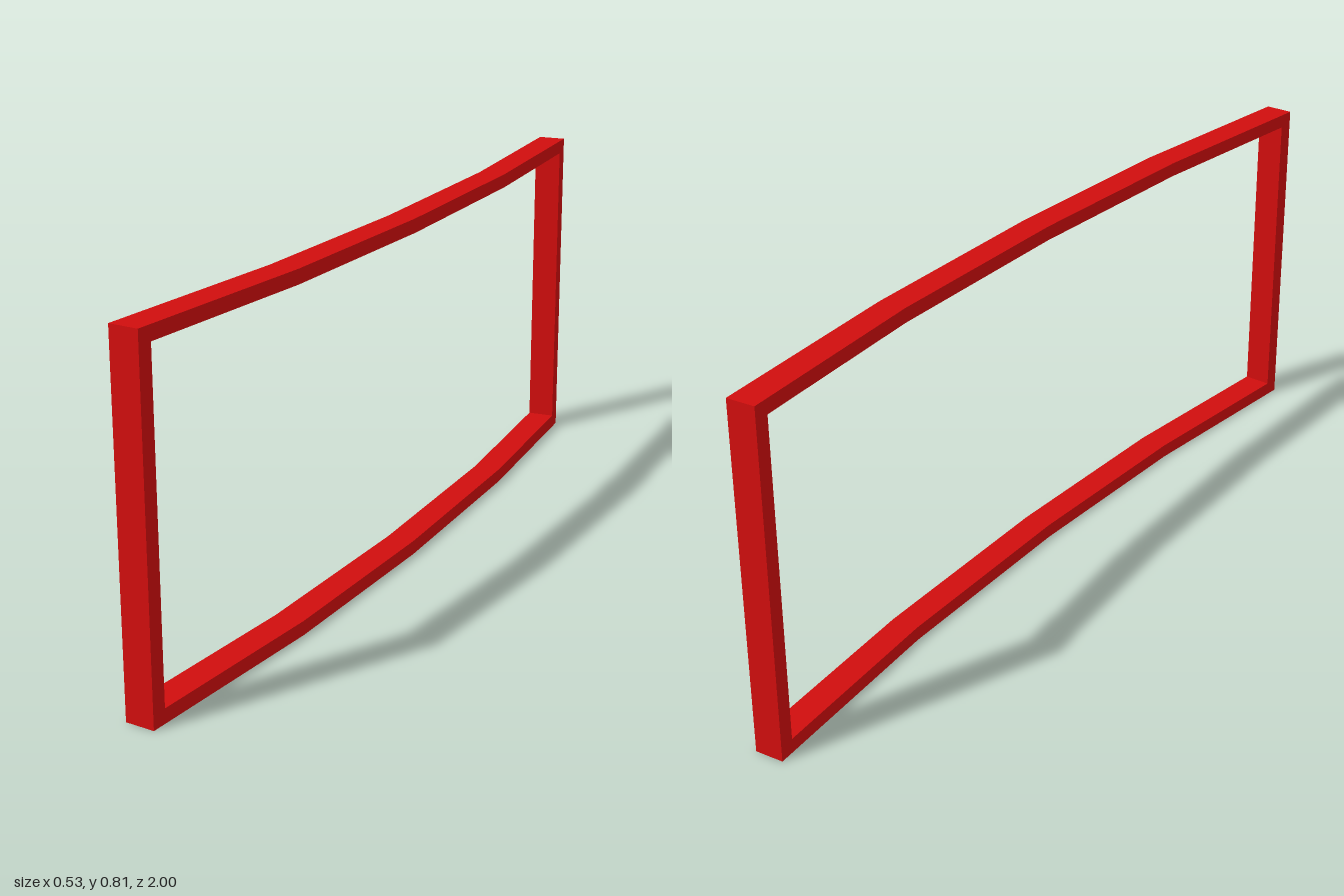
import * as THREE from 'three';

const HEIGHT = 0.81, RAIL = 0.033, POST = 0.036;

// Plan points [x, z] of the bowed frame, back to front
const OUTER = [[-0.2, -1], [-0.044, -0.525], [0.092, -0.01], [0.194, 0.485], [0.263, 0.99]];
const INNER = [[-0.264, -0.98], [-0.106, -0.505], [0.027, 0.005], [0.127, 0.5], [0.195, 1]];

// Upright prism over a plan outline, from y0 to y1
function prism(name, outline, y0, y1, material) {
  const shape = new THREE.Shape(outline.map(([x, z]) => new THREE.Vector2(x, -z)));
  const geometry = new THREE.ExtrudeGeometry(shape, { depth: y1 - y0, bevelEnabled: false });
  geometry.rotateX(-Math.PI / 2).translate(0, y0, 0);
  const mesh = new THREE.Mesh(geometry, material);
  mesh.name = name;
  return mesh;
}

// Point at a given distance from a towards b
function along(a, b, distance) {
  const t = distance / Math.hypot(b[0] - a[0], b[1] - a[1]);
  return [a[0] + (b[0] - a[0]) * t, a[1] + (b[1] - a[1]) * t];
}

export function createModel() {
  const group = new THREE.Group();
  group.name = 'curvedFrame';
  const red = new THREE.MeshStandardMaterial({ color: 0xd00d0d, flatShading: true });

  // Bowed rails at the bottom and top
  const railPlan = [...OUTER, ...[...INNER].reverse()];
  group.add(prism('bottomRail', railPlan, 0, RAIL, red));
  group.add(prism('topRail', railPlan, HEIGHT - RAIL, HEIGHT, red));

  // Posts closing the two ends
  for (const [name, end, next] of [['backPost', 0, 1], ['frontPost', 4, 3]]) {
    const plan = [
      OUTER[end], along(OUTER[end], OUTER[next], POST),
      along(INNER[end], INNER[next], POST), INNER[end],
    ];
    group.add(prism(name, plan, RAIL, HEIGHT - RAIL, red));
  }
  return group;
}
